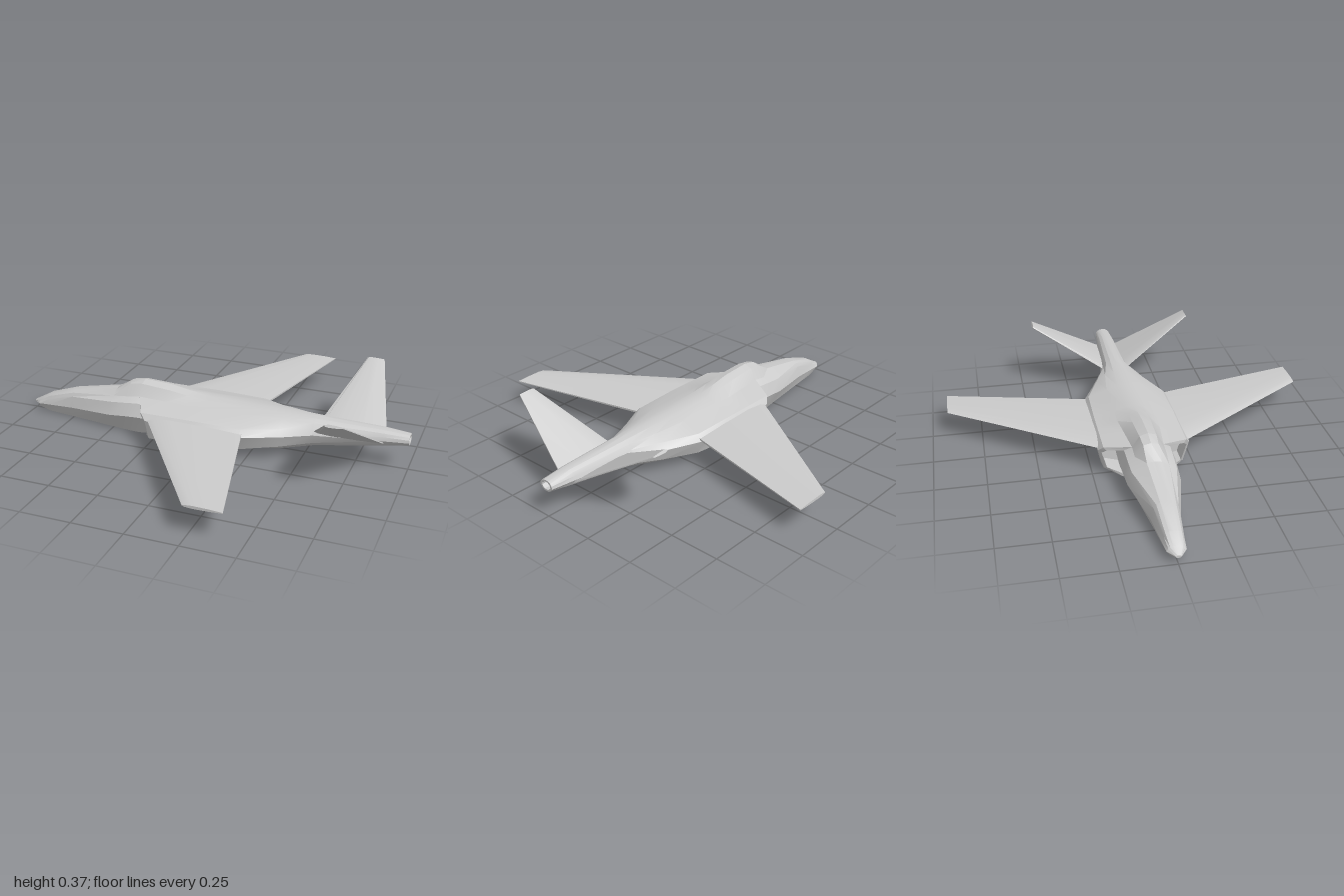
import * as THREE from 'three';
import { toCreasedNormals } from 'three/addons/utils/BufferGeometryUtils.js';

const grey = new THREE.MeshStandardMaterial({ color: 0xcccccc, side: THREE.DoubleSide });

// Skin a row of closed rings of [x, y, z] points; caps fan to the ring's middle.
function loft(rings, capStart, capEnd) {
  const pos = [], n = rings[0].length;
  const tri = (...p) => p.forEach(v => pos.push(...v));
  for (let i = 0; i + 1 < rings.length; i++) {
    for (let j = 0; j < n; j++) {
      const k = (j + 1) % n, a = rings[i], b = rings[i + 1];
      tri(a[j], a[k], b[j]);
      tri(a[k], b[k], b[j]);
    }
  }
  const cap = (r, flip) => {
    const c = [0, 1, 2].map(d => r.reduce((s, p) => s + p[d], 0) / n);
    for (let j = 0; j < n; j++) {
      const k = (j + 1) % n;
      if (flip) tri(c, r[k], r[j]); else tri(c, r[j], r[k]);
    }
  };
  if (capStart) cap(rings[0], true);
  if (capEnd) cap(rings[rings.length - 1], false);
  const g = new THREE.BufferGeometry();
  g.setAttribute('position', new THREE.Float32BufferAttribute(pos, 3));
  return toCreasedNormals(g, 0.35);
}

function add(group, name, geometry) {
  const m = new THREE.Mesh(geometry, grey);
  m.name = name;
  group.add(m);
}

// Mirrored cross-section: half profile of [z, y] from top to bottom.
function section(x, topY, half) {
  const px = typeof x === 'function' ? x : () => x;
  const left = half.map(([z, y]) => [px(z, y), y, z]);
  const right = half.map(([z, y]) => [px(z, y), y, -z]).reverse();
  const botY = half[half.length - 1][1];
  return [[px(0, topY), topY, 0], ...left, [px(0, botY), botY, 0], ...right];
}

// Thin tapered surface between a root and a tip aerofoil; side = 1 or -1.
function panel(stations, ny, nz, side) {
  const rings = stations.map(({ le, te, y, z, t }) => {
    const c = te - le;
    const profile = [[1, 0.15], [0.65, 0.4], [0.25, 0.5], [0.06, 0.3], [0, 0],
      [0.06, -0.3], [0.25, -0.5], [0.65, -0.4], [1, -0.15]];
    const ring = profile.map(([u, h]) => [le + u * c, y + h * t * ny, side * (z + h * t * nz)]);
    return side > 0 ? ring : ring.reverse();
  });
  return loft(rings, true, true);
}

export function createModel() {
  const group = new THREE.Group();

  // Nose, cockpit hump and forward sides; the last ring tucks into the main body
  const nose = [
    [-1, 0.045, [[0.004, 0.045], [0.008, 0.043], [0.012, 0.041], [0.012, 0.037], [0.006, 0.033]]],
    [-0.96, 0.066, [[0.015, 0.065], [0.028, 0.061], [0.036, 0.054], [0.044, 0.042], [0.028, 0.02]]],
    [-0.9, 0.1, [[0.02, 0.098], [0.036, 0.09], [0.043, 0.075], [0.05, 0.047], [0.036, 0.006]]],
    [-0.75, 0.147, [[0.026, 0.145], [0.044, 0.136], [0.056, 0.118], [0.068, 0.06], [0.05, 0.003]]],
    [-0.5, 0.195, [[0.035, 0.191], [0.07, 0.17], [0.105, 0.15], [0.125, 0.085], [0.08, 0]]],
    [-0.42, 0.245, [[0.036, 0.237], [0.075, 0.18], [0.108, 0.158], [0.13, 0.094], [0.09, 0]]],
    [-0.35, 0.258, [[0.04, 0.246], [0.075, 0.19], [0.11, 0.166], [0.135, 0.1], [0.095, 0]]],
    [-0.18, 0.21, [[0.035, 0.2], [0.07, 0.17], [0.11, 0.15], [0.13, 0.1], [0.095, 0.02]]],
  ];
  add(group, 'noseAndCockpit', loft(nose.map(s => section(...s)), true, true));

  // Main body, starting at the raked intake lips and running to the tail pipe
  const lipX = (z, y) => -0.35 + Math.max(0, z - 0.13) * 0.9 + Math.max(0, 0.165 - y) * 0.3;
  const lip = [[0.04, 0.246], [0.075, 0.19], [0.2, 0.165], [0.222, 0.135], [0.195, 0.03], [0.11, 0.001]];
  const inner = lip.map(([z, y]) => [z * 0.93, 0.085 + (y - 0.085) * 0.82]);
  const body = [
    [-0.18, 0.21, inner],
    [lipX, 0.22, inner],
    [lipX, 0.258, lip],
    [-0.2, 0.25, [[0.045, 0.236], [0.09, 0.192], [0.2, 0.165], [0.225, 0.135], [0.2, 0.03], [0.11, 0.003]]],
    [-0.1, 0.232, [[0.045, 0.222], [0.1, 0.192], [0.2, 0.165], [0.225, 0.135], [0.2, 0.032], [0.11, 0.006]]],
    [0, 0.216, [[0.045, 0.212], [0.1, 0.195], [0.2, 0.165], [0.225, 0.135], [0.2, 0.037], [0.11, 0.012]]],
    [0.23, 0.212, [[0.04, 0.208], [0.1, 0.194], [0.195, 0.16], [0.225, 0.13], [0.19, 0.055], [0.11, 0.027]]],
    [0.4, 0.209, [[0.035, 0.205], [0.08, 0.19], [0.125, 0.16], [0.148, 0.127], [0.125, 0.068], [0.08, 0.04]]],
    [0.55, 0.205, [[0.028, 0.2], [0.05, 0.185], [0.065, 0.162], [0.08, 0.133], [0.06, 0.085], [0.04, 0.064]]],
    [0.88, 0.195, [[0.02, 0.192], [0.036, 0.182], [0.045, 0.167], [0.05, 0.148], [0.035, 0.122], [0.02, 0.112]]],
    [1, 0.185, [[0.015, 0.183], [0.028, 0.176], [0.036, 0.166], [0.038, 0.152], [0.026, 0.138], [0.014, 0.131]]],
  ];
  // Hollow tail pipe: inset rim, then a recessed end
  const rim = body[body.length - 1][2].map(([z, y]) => [z * 0.7, 0.158 + (y - 0.158) * 0.7]);
  body.push([1, 0.177, rim], [0.95, 0.177, rim]);
  add(group, 'mainBody', loft(body.map(s => section(...s)), true, true));

  for (const [side, label] of [[1, 'Front'], [-1, 'Rear']]) {
    // Swept main wing
    add(group, 'wing' + label, panel([
      { le: -0.27, te: 0.24, y: 0.138, z: 0.17, t: 0.034 },
      { le: -0.25, te: 0.24, y: 0.138, z: 0.21, t: 0.032 },
      { le: 0.23, te: 0.41, y: 0.14, z: 0.915, t: 0.014 },
    ], 1, 0, side));
    // Canted tail fin
    add(group, 'tailFin' + label, panel([
      { le: 0.54, te: 0.885, y: 0.128, z: 0.03, t: 0.02 },
      { le: 0.69, te: 0.775, y: 0.365, z: 0.428, t: 0.014 },
    ], 0.86, -0.51, side));
  }
  return group;
}
